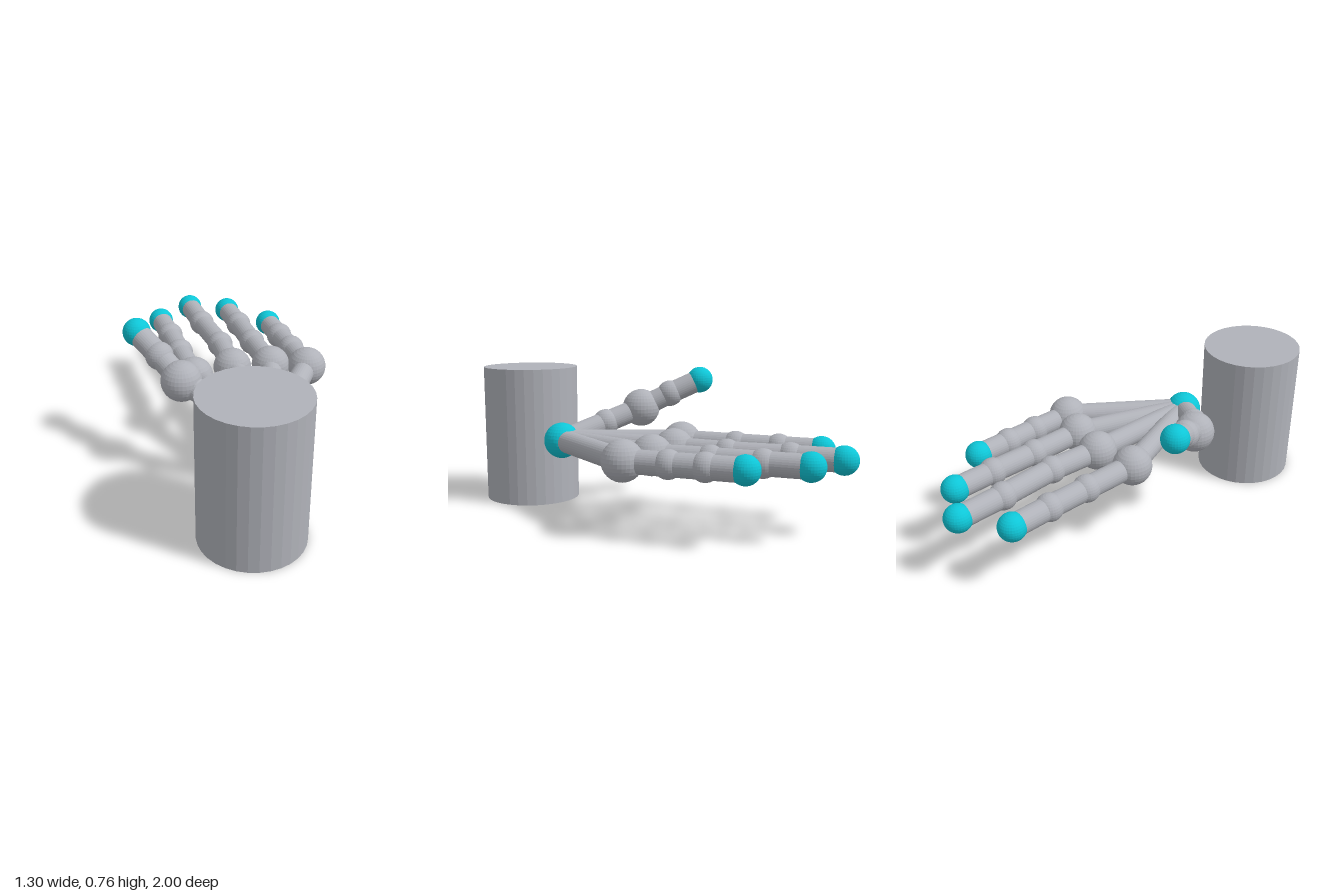
import * as THREE from 'three';

const BONE_R = 0.06, JOINT_R = 0.073, KNUCKLE_R = 0.105, WRIST_R = 0.097;
const PALM_Y = 0.38;

export function createModel() {
  const grey = new THREE.MeshStandardMaterial({ color: 0xb0b2b9, flatShading: true });
  grey.name = 'bone grey';
  const cyan = new THREE.MeshStandardMaterial({ color: 0x0ec6d7, flatShading: true });
  cyan.name = 'cyan';

  const hand = new THREE.Group();
  hand.name = 'hand';

  const ball = (parent, name, p, r, mat) => {
    const mesh = new THREE.Mesh(new THREE.SphereGeometry(r, 32, 16), mat);
    mesh.name = name;
    mesh.position.copy(p);
    parent.add(mesh);
  };

  // straight rod joining two joint centres
  const bone = (parent, name, a, b) => {
    const dir = b.clone().sub(a);
    const mesh = new THREE.Mesh(new THREE.CylinderGeometry(BONE_R, BONE_R, dir.length(), 32), grey);
    mesh.name = name;
    mesh.position.copy(a).lerp(b, 0.5);
    mesh.quaternion.setFromUnitVectors(new THREE.Vector3(0, 1, 0), dir.normalize());
    parent.add(mesh);
  };

  // forearm stump
  const forearm = new THREE.Mesh(new THREE.CylinderGeometry(0.265, 0.265, 0.76, 32), grey);
  forearm.name = 'forearm';
  forearm.position.set(0.383, 0.38, 0.732);
  hand.add(forearm);

  // wrist
  const wrist = new THREE.Vector3(0.385, PALM_Y, 0.355);
  ball(hand, 'wrist', wrist, WRIST_R, cyan);

  // joint centres from the wrist outwards; knuckle is the index of the large joint
  const flat = (pts) => pts.map(([x, z]) => [x, PALM_Y, z]);
  const digits = [
    { name: 'thumb', knuckle: 1, pts: [[0.108, 0.458, 0.352], [-0.103, 0.53, 0.312], [-0.247, 0.61, 0.232], [-0.4, 0.686, 0.152]] },
    { name: 'indexFinger', knuckle: 0, pts: flat([[-0.15, 0.02 - 0.04], [-0.32, -0.275], [-0.45, -0.468], [-0.578, -0.65]]) },
    { name: 'middleFinger', knuckle: 0, pts: flat([[0.018, -0.185], [-0.13, -0.438], [-0.325, -0.69], [-0.476, -0.904]]) },
    { name: 'ringFinger', knuckle: 0, pts: flat([[0.214, -0.273], [0.04, -0.523], [-0.105, -0.74], [-0.235, -0.927]]) },
    { name: 'littleFinger', knuckle: 0, pts: flat([[0.41, -0.315], [0.278, -0.508], [0.172, -0.656], [0.063, -0.813]]) },
  ];

  for (const { name, knuckle, pts } of digits) {
    const digit = new THREE.Group();
    digit.name = name;
    let prev = wrist;
    pts.forEach((c, i) => {
      const p = new THREE.Vector3(...c);
      const isTip = i === pts.length - 1;
      bone(digit, 'bone', prev, p);
      ball(digit, isTip ? 'fingertip' : i === knuckle ? 'knuckle' : 'joint', p,
        i === knuckle ? KNUCKLE_R : JOINT_R, isTip ? cyan : grey);
      prev = p;
    });
    hand.add(digit);
  }
  return hand;
}
